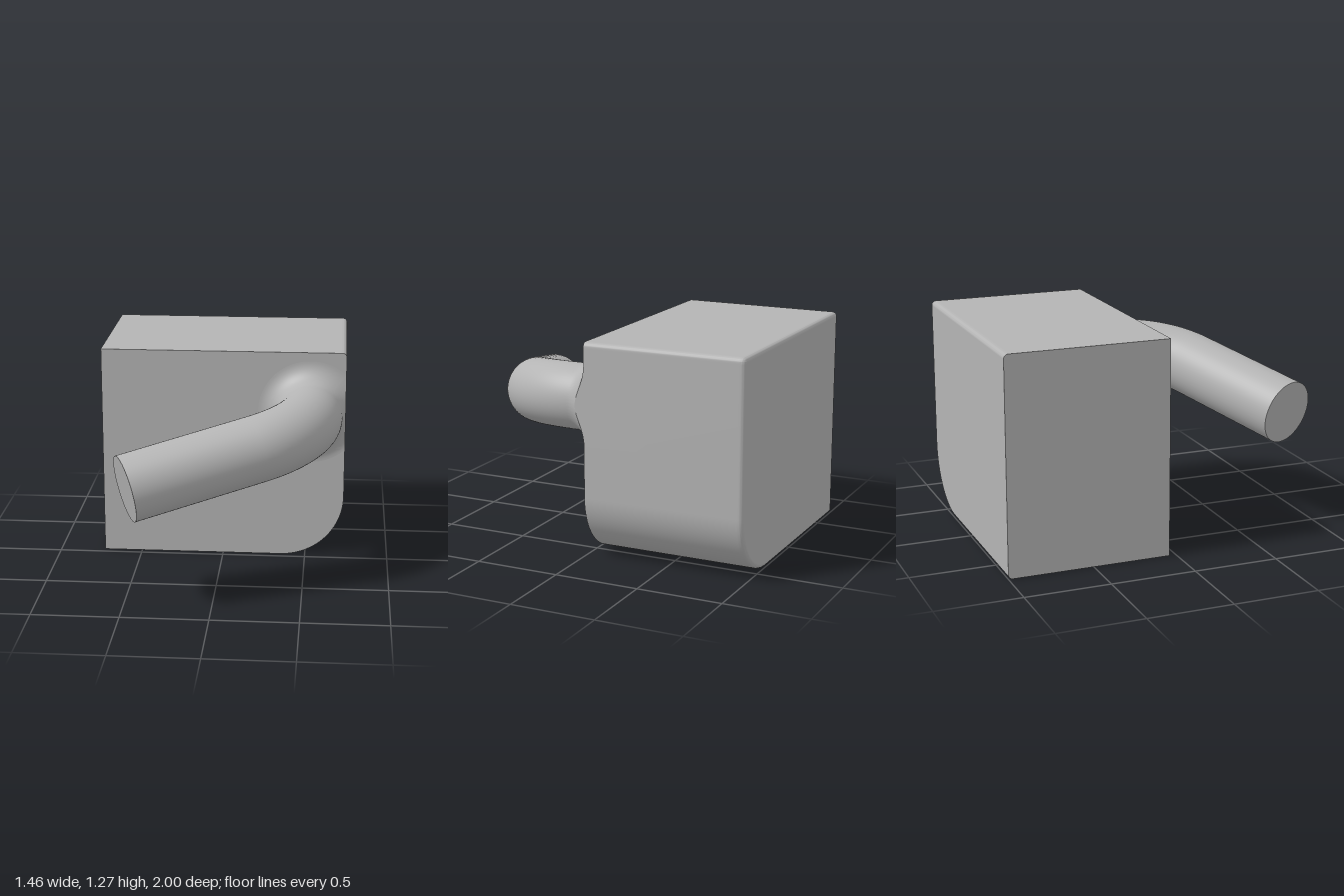
import * as THREE from 'three';
import { toCreasedNormals } from 'three/addons/utils/BufferGeometryUtils.js';

const W = 0.73, H = 1.27, FRONT = -0.04, BACK = -1;
const EDGE = 0.026, CORNER = 0.38;                  // small and large rounding of the block
const PIPE = { x: 0.52, y: 0.907, r: 0.192, fillet: 0.12, bend: 0.49, turn: 1.178, straight: 0.78, z0: 0.067 };

// Skins rows of points of equal length
function loft(rows) {
  const n = rows[0].length, index = [];
  for (let i = 0; i < rows.length - 1; i++) {
    for (let j = 0; j < n - 1; j++) {
      const a = i * n + j, b = a + 1, d = a + n, c = d + 1;
      index.push(a, d, c, a, c, b);
    }
  }
  const g = new THREE.BufferGeometry().setFromPoints(rows.flat());
  g.setIndex(index);
  return toCreasedNormals(g.toNonIndexed(), 0.6);
}

// Block outline, drawn in by d on every side but the left
function outline(d) {
  const pts = [[-W, d]];
  const corner = (cx, cy, r, from, steps) => {
    for (let i = 0; i <= steps; i++) {
      const a = from + (i / steps) * Math.PI / 2;
      pts.push([cx + r * Math.cos(a), cy + r * Math.sin(a)]);
    }
  };
  corner(W - CORNER, CORNER, CORNER - d, -Math.PI / 2, 32);
  pts.push([W - d, H - EDGE - 0.01]);
  corner(W - EDGE, H - EDGE, EDGE - d, 0, 8);
  pts.push([W - EDGE - 0.01, H - d], [-W, H - d], [-W, d]);
  return pts.map(([x, y]) => new THREE.Vector2(x, y));
}

// Centre line of the pipe: short run, planar bend, long straight run
class PipePath extends THREE.Curve {
  getPoint(t, target = new THREE.Vector3()) {
    const { x, y, z0, bend, turn, straight } = PIPE;
    const lead = z0 - FRONT, arc = bend * turn;
    const s = t * (lead + arc + straight);
    const a = Math.min(Math.max((s - lead) / bend, 0), turn);
    const rest = Math.max(s - lead - arc, 0);
    const u = bend * (1 - Math.cos(a)) + rest * Math.sin(turn);
    const z = FRONT + Math.min(s, lead) + bend * Math.sin(a) + rest * Math.cos(turn);
    return target.set(x - 0.977 * u, y - 0.212 * u, z);
  }
}

export function createModel() {
  const model = new THREE.Group();
  const grey = new THREE.MeshStandardMaterial({ color: 0xb4b4b4 });
  grey.name = 'grey';
  const add = (name, geometry, parent) => {
    const mesh = new THREE.Mesh(geometry, grey);
    mesh.name = name;
    parent.add(mesh);
    return mesh;
  };

  // Block with a rounded back rim
  const block = new THREE.Group();
  block.name = 'block';
  const sections = [[0, FRONT], [0, BACK + EDGE + 0.01]];
  for (let i = 0; i <= 8; i++) {
    const a = (i / 8) * Math.PI / 2;
    sections.push([(EDGE - 0.001) * (1 - Math.cos(a)), BACK + EDGE * (1 - Math.sin(a))]);
  }
  add('blockSides', loft(sections.map(([d, z]) =>
    outline(d).map(p => new THREE.Vector3(p.x, p.y, z)))), block);
  add('blockFront', new THREE.ShapeGeometry(new THREE.Shape(outline(0))), block).position.z = FRONT;
  const back = new THREE.ShapeGeometry(new THREE.Shape(outline(EDGE - 0.001).map(p => p.set(-p.x, p.y))));
  back.rotateY(Math.PI);
  add('blockBack', back, block).position.z = BACK;
  model.add(block);

  // Bent pipe with a flat end
  const pipe = new THREE.Group();
  pipe.name = 'pipe';
  const path = new PipePath();
  add('pipeBody', new THREE.TubeGeometry(path, 96, PIPE.r, 64), pipe);
  const end = add('pipeEnd', new THREE.CircleGeometry(PIPE.r, 64), pipe);
  end.position.copy(path.getPoint(1));
  end.lookAt(end.position.clone().add(path.getTangent(1)));
  model.add(pipe);

  // Flared collar where the pipe meets the block, cut off flush with the block's side
  const { x, y, r, fillet } = PIPE;
  const collarPoint = (theta, k) => {
    const c = Math.cos(theta);
    const reach = c > 0 ? Math.min(r + fillet, (W - x) / c) : r + fillet;
    const full = Math.acos((r + fillet - reach) / fillet);
    const a = k * full;
    const rho = r + fillet * (1 - Math.cos(a));
    return new THREE.Vector3(x + rho * c, y + rho * Math.sin(theta), FRONT + fillet * (1 - Math.sin(a)));
  };
  const cut = Math.acos((W - x) / (r + fillet));
  const angles = [];
  for (let j = 0; j <= 48; j++) angles.push(-cut + (j / 48) * 2 * cut);
  for (let j = 1; j <= 64; j++) angles.push(cut + (j / 64) * 2 * (Math.PI - cut));
  const rows = [];
  for (let i = 0; i <= 16; i++) rows.push(angles.map(t => collarPoint(t, i / 16)));
  add('collar', loft(rows), pipe);

  // Flat side of the collar
  const rim = rows[16].slice(0, 49);
  add('collarSide', loft([rim, rim.map(p => new THREE.Vector3(W, p.y, FRONT))]), pipe);
  return model;
}
